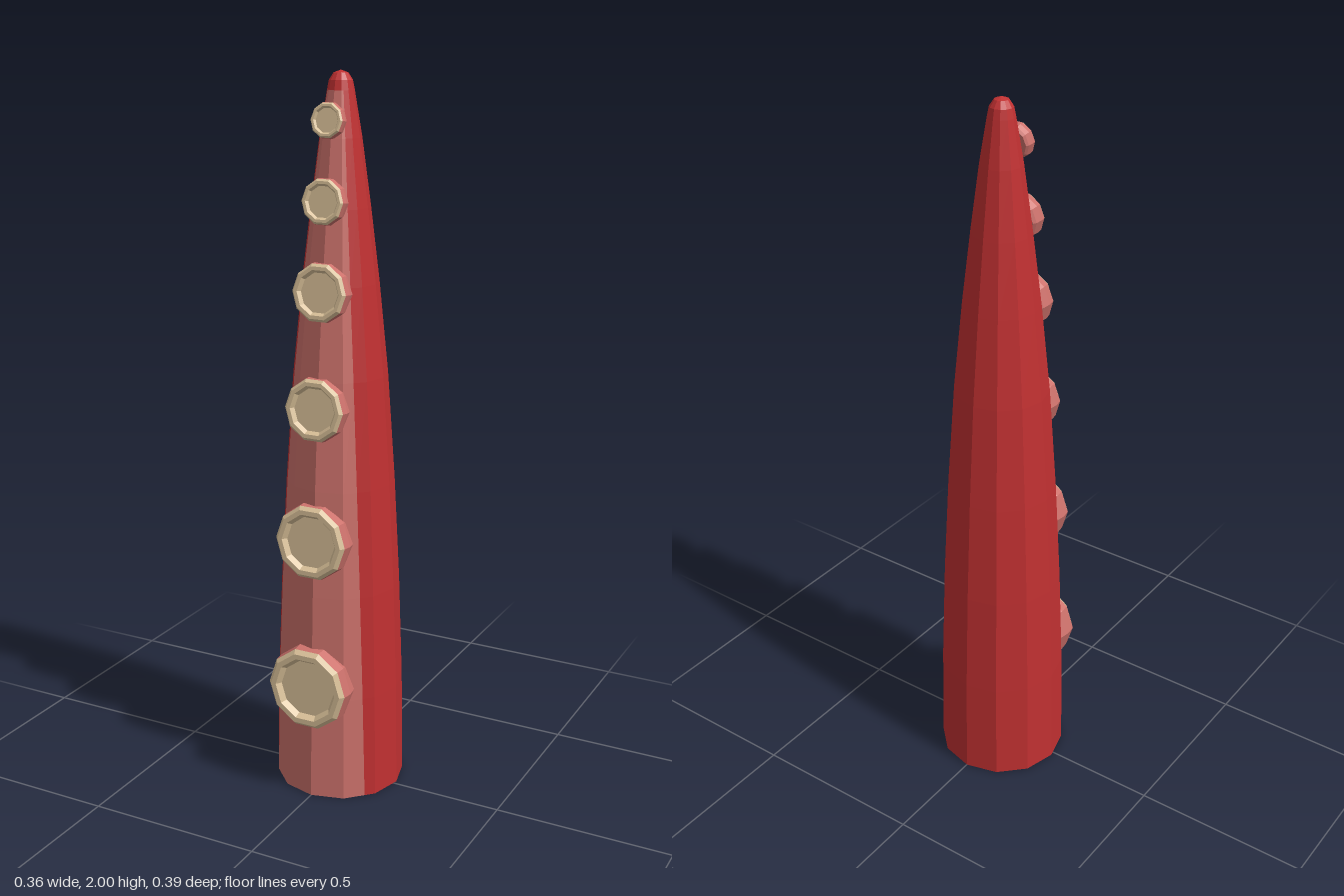
import * as THREE from 'three';

const material = (name, color) => {
  const m = new THREE.MeshStandardMaterial({ color });
  m.name = name;
  return m;
};

const AXIS_Z = -0.013;
// tentacle outline: [radius, height]
const PROFILE = [
  [0.182, 0], [0.177, 0.3], [0.166, 0.6], [0.15, 0.9], [0.129, 1.2],
  [0.104, 1.45], [0.08, 1.65], [0.056, 1.83], [0.036, 1.95],
];
const DOME = [[0.036, 1.95], [0.031, 1.975], [0.019, 1.993], [0, 2]];

// point on a unit twelve-sided outline, s counts corners from the front towards +x
function outline(s) {
  const i = Math.floor(s), t = s - i;
  const a = i * Math.PI / 6, b = (i + 1) * Math.PI / 6;
  return [
    THREE.MathUtils.lerp(Math.sin(a), Math.sin(b), t),
    THREE.MathUtils.lerp(Math.cos(a), Math.cos(b), t),
  ];
}

// faceted skin through rings of equal point count
function loft(rings) {
  const pos = [];
  for (let j = 0; j + 1 < rings.length; j++) {
    for (let i = 0; i + 1 < rings[j].length; i++) {
      const a = rings[j][i], b = rings[j][i + 1];
      const c = rings[j + 1][i + 1], d = rings[j + 1][i];
      pos.push(...a, ...b, ...c, ...a, ...c, ...d);
    }
  }
  const g = new THREE.BufferGeometry();
  g.setAttribute('position', new THREE.Float32BufferAttribute(pos, 3));
  g.computeVertexNormals();
  return g;
}

// strip of the tentacle; corners(y) lists the outline positions used at a height
function strip(profile, corners, withBase) {
  const rings = profile.map(([r, y]) => corners(y).map((s) => {
    const [x, z] = outline(s);
    return [x * r, y, z * r + AXIS_Z];
  }));
  if (withBase) rings.unshift(rings[0].map(() => [0, 0, 0.07]));
  return loft(rings);
}

export function createModel() {
  const red = material('deep red', 0xc03031);
  const pink = material('soft pink', 0xcc716b);
  const tan = material('pale tan', 0xd9c098);

  const group = new THREE.Group();
  group.name = 'tentacle';
  const add = (parent, name, geometry, mat) => {
    const mesh = new THREE.Mesh(geometry, mat);
    mesh.name = name;
    parent.add(mesh);
    return mesh;
  };

  // edges of the pink underside, narrowing towards the tip
  const leftEdge = (y) => 1.67 - 0.19 * y;
  const rightEdge = (y) => -1.98 + 0.12 * y;
  const range = (a, b) => Array.from({ length: b - a + 1 }, (_, i) => a + i);

  add(group, 'underside', strip(PROFILE, (y) => [rightEdge(y), -1, 0, 1, leftEdge(y)], true), pink);
  add(group, 'back', strip(PROFILE, (y) => [leftEdge(y), ...range(2, 10), 12 + rightEdge(y)], true), red);
  add(group, 'tip', strip(DOME, () => range(0, 12), false), red);

  // suckers: [height, front z, radius, upward tilt]
  const suckers = [
    [0.335, 0.192, 0.122, 0.02], [0.76, 0.166, 0.109, 0.05],
    [1.127, 0.14, 0.09, 0.08], [1.438, 0.108, 0.082, 0.1],
    [1.673, 0.086, 0.063, 0.12], [1.878, 0.06, 0.048, 0.15],
  ];
  const wall = [[0, -0.75], [0.85, -0.75], [0.95, -0.62], [1, -0.34], [0.97, -0.1]];
  const cup = [[0.97, -0.1], [0.88, 0], [0.76, 0], [0.67, -0.13], [0, -0.13]];
  const turned = (points) => {
    const g = new THREE.LatheGeometry(points.map(([x, y]) => new THREE.Vector2(x, y)), 10)
      .rotateY(Math.PI / 2).toNonIndexed();
    g.computeVertexNormals();
    return g;
  };
  const wallGeometry = turned(wall), cupGeometry = turned(cup);

  suckers.forEach(([y, z, r, tilt], i) => {
    const sucker = new THREE.Group();
    sucker.name = `sucker${i + 1}`;
    add(sucker, 'suckerWall', wallGeometry, pink);
    add(sucker, 'suckerCup', cupGeometry, tan);
    sucker.scale.setScalar(r);
    sucker.rotation.x = Math.PI / 2 - tilt;
    sucker.position.set(-0.006, y, z);
    group.add(sucker);
  });

  return group;
}
